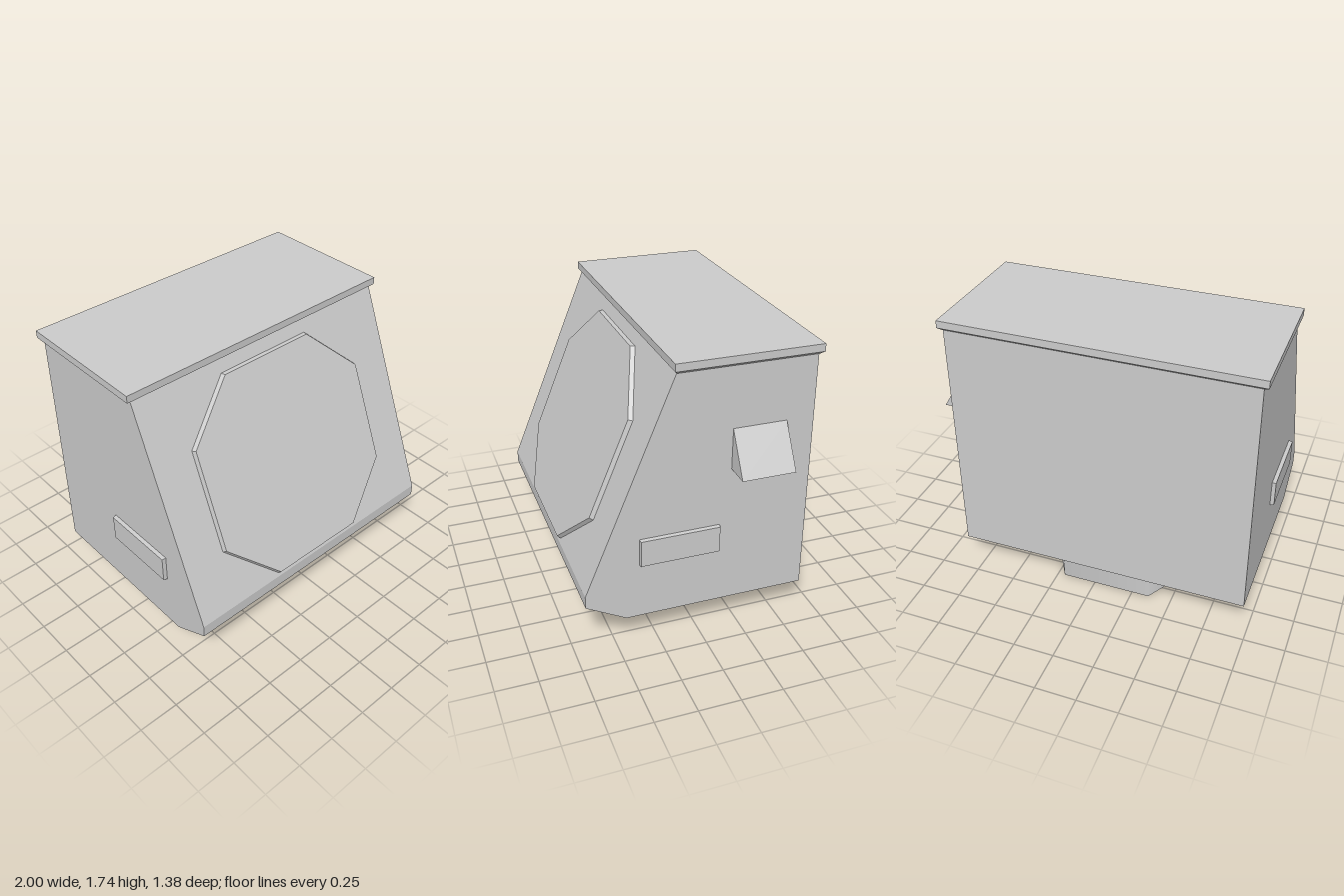
import * as THREE from 'three';

const CX = -0.06; // centre line of the cabinet

export function createModel() {
  const group = new THREE.Group();
  const grey = new THREE.MeshStandardMaterial({ color: 0xcccccc, flatShading: true });

  const add = (name, geometry, x = 0, y = 0, z = 0, material = grey) => {
    const mesh = new THREE.Mesh(geometry, material);
    mesh.name = name;
    mesh.position.set(x, y, z);
    group.add(mesh);
    return mesh;
  };

  const prism = (points, depth) => new THREE.ExtrudeGeometry(
    new THREE.Shape(points.map(([x, y]) => new THREE.Vector2(x, y))),
    { depth, bevelEnabled: false });

  // Prism whose far end is drawn in by the given factors
  const taperedPrism = (points, depth, sx, sy) => {
    const geometry = prism(points, depth);
    const p = geometry.attributes.position;
    for (let i = 0; i < p.count; i++) {
      if (p.getZ(i) > depth / 2) p.setXY(i, p.getX(i) * sx, p.getY(i) * sy);
    }
    geometry.computeVertexNormals();
    return geometry;
  };

  const rect = (w, h) => [[-w / 2, -h / 2], [w / 2, -h / 2], [w / 2, h / 2], [-w / 2, h / 2]];

  // Cabinet: side profile (z, y) extruded across the width
  const profile = [[-0.664, 0.18], [0.44, 0.18], [0.68, 0.31], [0.68, 0.385], [0.15, 1.68], [-0.664, 1.68]];
  add('cabinet', prism(profile, 1.82).rotateY(-Math.PI / 2), 0.85);

  // Overhanging lid with a chamfered underside
  const lidW = 1.875, lidD = 0.857, lidZ = -0.2585;
  add('lid', new THREE.BoxGeometry(lidW, 0.045, lidD), -0.0625, 1.7125, lidZ);
  const chamfer = taperedPrism(rect(lidW, lidD), 0.017, 1 - 0.04 / lidW, 1 - 0.04 / lidD);
  add('lidChamfer', chamfer.rotateX(Math.PI / 2), -0.0625, 1.69, lidZ);

  // Octagonal panel lying on the sloping front
  const R = 0.645, C = 0.32;
  const octagon = [[C, -R], [R, -C], [R, C], [C, R], [-C, R], [-R, C], [-R, -C], [-C, -R]];
  const panel = add('frontPanel', taperedPrism(octagon, 0.026, 0.985, 0.985), CX, 1.005, 0.426);
  panel.rotation.x = -Math.atan(0.53 / 1.295);

  // Thin plate on each side
  for (const side of [1, -1]) {
    const plate = taperedPrism(rect(0.48, 0.17), 0.024, 0.985, 0.96).rotateY(side * Math.PI / 2);
    add(side > 0 ? 'leftPlate' : 'rightPlate', plate, CX + side * 0.91, 0.616, 0.12);
  }

  // Wedge-shaped hood on the left side
  add('sideHood', prism([[0.84, 1.05], [1.0, 1.05], [0.85, 1.3], [0.84, 1.3]], 0.32), 0, 0, -0.5);

  // Open six-sided collar underneath, shaded smooth
  const collarMaterial = new THREE.MeshStandardMaterial({ color: 0xcccccc, side: THREE.DoubleSide });
  const collar = new THREE.CylinderGeometry(0.563, 0.563, 0.18, 6, 1, true).rotateY(Math.PI / 2);
  collar.rotateY(Math.PI);
  add('baseCollar', collar, -0.075, 0.09, -0.115, collarMaterial);

  return group;
}
